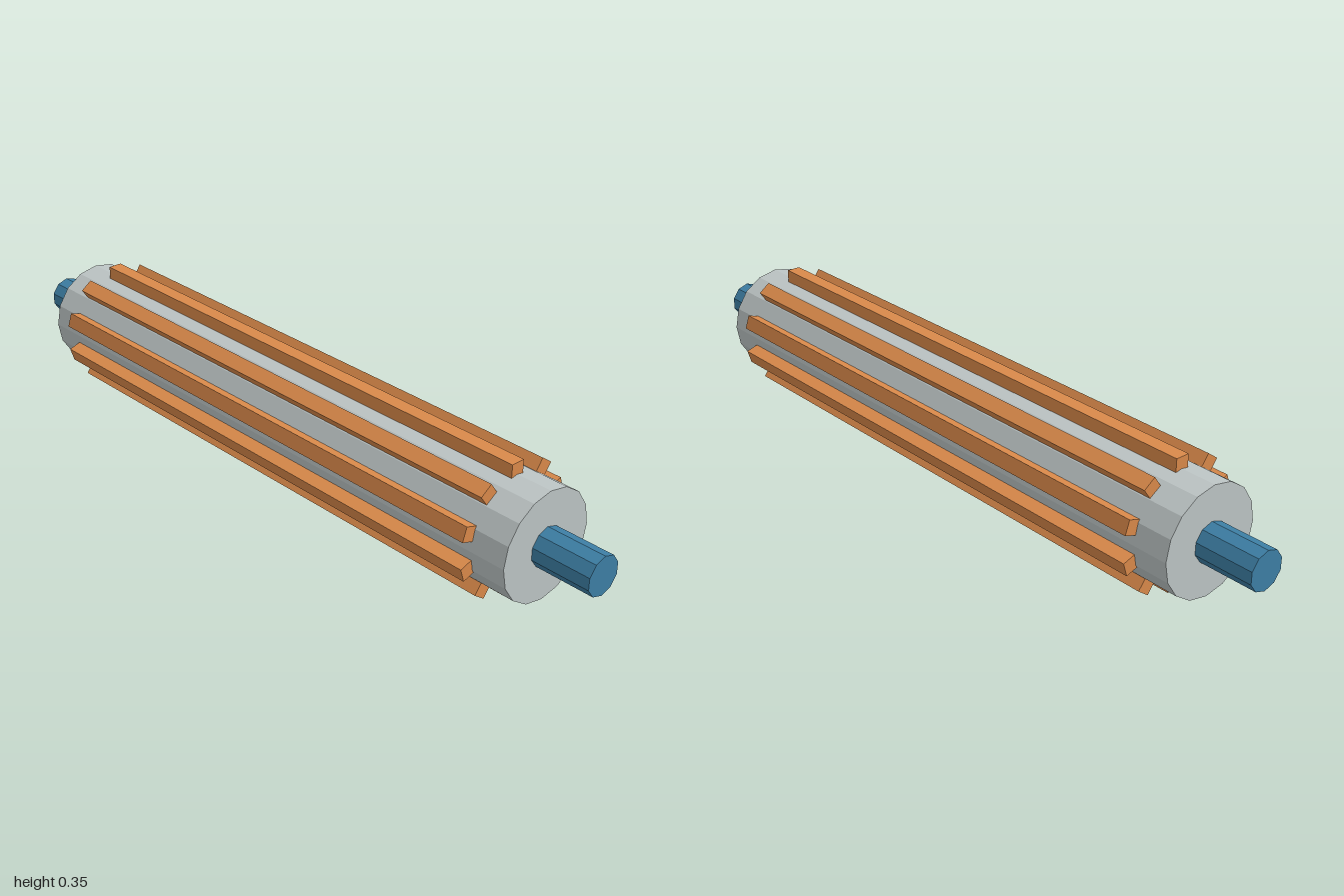
import * as THREE from 'three';

const AXIS_Y = 0.1727;   // height of the roller's axis
const BAR_COUNT = 10;
const BAR_SIZE = 0.038;

function material(name, color) {
  const m = new THREE.MeshStandardMaterial({ color, flatShading: true });
  m.name = name;
  return m;
}

// Faceted cylinder lying along x, with one corner pointing straight up
function rod(name, radius, length, sides, mat) {
  const geometry = new THREE.CylinderGeometry(radius, radius, length, sides);
  geometry.rotateZ(Math.PI / 2).rotateX(-Math.PI / 2);
  const mesh = new THREE.Mesh(geometry, mat);
  mesh.name = name;
  return mesh;
}

export function createModel() {
  const steel = material('lightGrey', 0xbcc4c4);
  const blue = material('blue', 0x3d7ea4);
  const orange = material('orange', 0xd9894a);

  const roller = new THREE.Group();
  roller.name = 'roller';
  roller.position.y = AXIS_Y;

  // Drum and the axle running through it
  roller.add(rod('drum', 0.142, 1.684, 16, steel));
  roller.add(rod('axle', 0.051, 2, 10, blue));

  // Raised bars spaced evenly around the drum
  const bars = new THREE.Group();
  bars.name = 'bars';
  const barGeometry = new THREE.BoxGeometry(1.492, BAR_SIZE, BAR_SIZE);
  barGeometry.translate(0, AXIS_Y - BAR_SIZE / 2, 0);
  for (let i = 0; i < BAR_COUNT; i++) {
    const bar = new THREE.Mesh(barGeometry, orange);
    bar.name = `bar${i + 1}`;
    bar.rotation.x = (i / BAR_COUNT) * Math.PI * 2;
    bars.add(bar);
  }
  roller.add(bars);

  const model = new THREE.Group();
  model.name = 'ribbedRoller';
  model.add(roller);
  return model;
}
